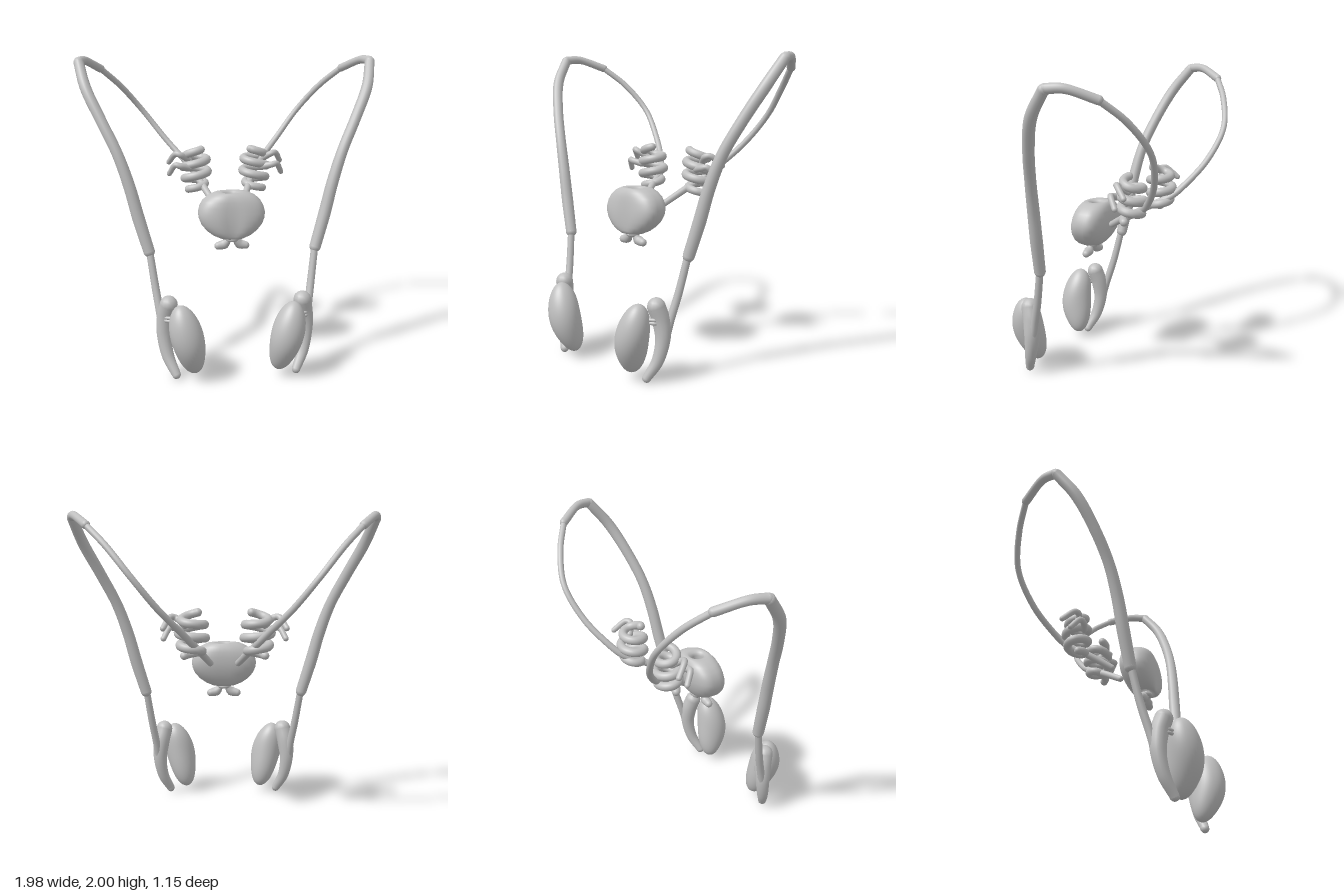
import * as THREE from 'three';
import { mergeGeometries, mergeVertices } from 'three/addons/utils/BufferGeometryUtils.js';

const V = (x, y, z) => new THREE.Vector3(x, y, z);

// Move every vertex by a rule, then rebuild smooth normals without a seam.
function reshape(geometry, rule) {
  const p = geometry.attributes.position, v = V(0, 0, 0);
  for (let i = 0; i < p.count; i++) {
    rule(v.fromBufferAttribute(p, i));
    p.setXYZ(i, v.x, v.y, v.z);
  }
  geometry.deleteAttribute('uv');
  geometry.deleteAttribute('normal');
  const merged = mergeVertices(geometry, 1e-5);
  merged.computeVertexNormals();
  return merged;
}

// Round-ended tube through points, with radii spread evenly along its length.
function taperedTube(points, radii, segments = 48, sides = 14) {
  const curve = new THREE.CatmullRomCurve3(points);
  const tube = new THREE.TubeGeometry(curve, segments, 1, sides);
  const p = tube.attributes.position, v = V(0, 0, 0);
  const radiusAt = (u) => {
    const f = u * (radii.length - 1), k = Math.min(Math.floor(f), radii.length - 2);
    return THREE.MathUtils.lerp(radii[k], radii[k + 1], f - k);
  };
  for (let i = 0; i <= segments; i++) {
    const c = curve.getPointAt(i / segments), r = radiusAt(i / segments);
    for (let j = 0; j <= sides; j++) {
      const n = i * (sides + 1) + j;
      v.fromBufferAttribute(p, n).sub(c).multiplyScalar(r).add(c);
      p.setXYZ(n, v.x, v.y, v.z);
    }
  }
  const caps = [0, 1].map((u) => {
    const c = curve.getPointAt(u);
    return new THREE.SphereGeometry(radiusAt(u), 14, 10).translate(c.x, c.y, c.z);
  });
  return mergeGeometries([tube, ...caps]);
}

export function createModel() {
  const model = new THREE.Group();
  model.name = 'ductAndGlandModel';
  const grey = new THREE.MeshStandardMaterial({ color: 0xc0c0c0 });
  grey.name = 'light grey';

  const add = (parent, name, geometry) => {
    const mesh = new THREE.Mesh(geometry, grey);
    mesh.name = name;
    parent.add(mesh);
    return mesh;
  };

  // Central gland: closed profile with a bore, flattened front to back
  const bore = 0.035, widest = 0.217;
  const profile = [
    [bore, 0.86], [0.08, 0.845], [0.125, 0.865], [0.165, 0.895], [0.198, 0.935],
    [0.214, 0.975], [widest, 1.01], [0.208, 1.05], [0.188, 1.085], [0.155, 1.115],
    [0.11, 1.136], [0.07, 1.14], [0.045, 1.13], [bore, 1.11], [bore, 0.98], [bore, 0.86],
  ].map(([r, y]) => new THREE.Vector2(r, y));
  add(model, 'centralGland', reshape(new THREE.LatheGeometry(profile, 64), (v) => {
    const r = Math.hypot(v.x, v.z), out = Math.max(0, (r - bore) / (widest - bore));
    const e = 1 - 0.32 * out, low = THREE.MathUtils.clamp((1.14 - v.y) / 0.3, 0, 1);
    const depth = bore + 0.08 * Math.pow(out, 0.6);
    const sx = v.x / r, sz = v.z / r;
    v.x = Math.sign(sx) * Math.pow(Math.abs(sx), e) * r;
    v.z = Math.sign(sz) * Math.pow(Math.abs(sz), e) * depth;
    // shallow groove low on the front
    if (v.z > 0) v.z -= 0.025 * out * low * Math.exp(-((v.x / 0.05) ** 2));
    v.z += 0.105 + 0.04 * low * low;
  }));

  // Short outlet below the gland
  add(model, 'outletRing', new THREE.TorusGeometry(0.03, 0.014, 10, 24)
    .rotateX(Math.PI / 2).translate(0, 0.835, 0.145));

  for (const s of [1, -1]) {
    const side = new THREE.Group();
    side.name = s > 0 ? 'leftSide' : 'rightSide';
    model.add(side);
    const pts = (list) => list.map(([x, y, z]) => V(s * x, y, z));
    const tube = (name, list, radii, segments) =>
      add(side, name, taperedTube(pts(list), radii, segments));

    // Small paired bulbs under the central gland
    tube('smallBulb', [[0.018, 0.83, 0.145], [0.05, 0.8, 0.142], [0.09, 0.789, 0.14]],
      [0.014, 0.024, 0.032, 0.029, 0.025], 24);

    // Large oval gland, leaning outward at the top
    add(side, 'ovalGland', reshape(new THREE.SphereGeometry(1, 40, 28), (v) => {
      const y = v.y, bulge = 1 + 0.05 * Math.sin(3 * y + 2 * v.z);
      v.x = s * (0.312 + 0.104 * v.x * bulge * s + 0.042 * y);
      v.z = 0.462 + 0.108 * v.z * bulge + 0.015 * y - 0.02 * y * y;
      v.y = 0.272 + 0.23 * y;
    }));

    // Curved body hugging the oval gland
    tube('curvedBody', [[0.425, 0.482, 0.372], [0.443, 0.4, 0.35], [0.455, 0.28, 0.345],
      [0.435, 0.14, 0.37], [0.385, 0.028, 0.415]], [0.057, 0.055, 0.045, 0.038, 0.028]);

    // Little ducts joining the body to the oval gland
    for (const y of [0.387, 0.407]) {
      tube('linkDuct', [[0.452, y, 0.36], [0.446, y, 0.4], [0.4, y, 0.425]], [0.011, 0.011], 16);
    }

    // Thin lower duct up to the sheath
    tube('lowerDuct', [[0.385, 0.03, 0.41], [0.45, 0.19, 0.355], [0.478, 0.4, 0.3],
      [0.503, 0.56, 0.257], [0.535, 0.79, 0.21]], [0.026, 0.026, 0.025, 0.023]);

    // Thick sheathed duct rising to the peak
    tube('thickDuct', [[0.538, 0.785, 0.208], [0.6, 1.0, 0.185], [0.652, 1.2, 0.165],
      [0.72, 1.4, 0.133], [0.815, 1.6, 0.073], [0.91, 1.8, -0.015], [0.955, 1.955, -0.13]],
    [0.037, 0.04, 0.038, 0.035, 0.035, 0.036, 0.033], 64);

    // Collar running back from the peak
    tube('peakCollar', [[0.955, 1.962, -0.14], [0.925, 1.965, -0.235], [0.83, 1.905, -0.39]],
      [0.03, 0.026, 0.027], 24);

    // Thin duct sweeping behind and down to the centre
    tube('upperDuct', [[0.83, 1.905, -0.39], [0.7, 1.78, -0.49], [0.55, 1.6, -0.555],
      [0.4, 1.41, -0.51], [0.27, 1.265, -0.42], [0.2, 1.18, -0.34], [0.145, 1.1, -0.19],
      [0.092, 1.022, -0.06]], [0.02, 0.02, 0.019, 0.02, 0.021, 0.024, 0.021], 72);

    // Coiled gland, wound upward with slanted turns
    const coil = [], turns = 3.25;
    for (let i = 0; i <= 52; i++) {
      const t = i / 52, a = t * turns * Math.PI * 2 + 0.6, r = 0.074 - 0.012 * Math.cos(t * 6);
      const x = Math.cos(a) * r, z = Math.sin(a) * r * 0.85;
      coil.push([0.205 + x, 1.095 + 0.265 * t - 0.1 * t * x + 0.12 * z * t, -0.265 + z]);
    }
    tube('coiledGland', coil, [0.026, 0.029, 0.029, 0.029, 0.027], 160);

    // Bent side branches of the coil
    tube('coilBranch', [[0.25, 1.29, -0.26], [0.31, 1.335, -0.215], [0.34, 1.34, -0.23],
      [0.385, 1.275, -0.3]], [0.022, 0.02, 0.018], 28);
    tube('coilBranch', [[0.25, 1.25, -0.2], [0.315, 1.265, -0.18], [0.345, 1.27, -0.19],
      [0.385, 1.205, -0.24]], [0.024, 0.02, 0.018], 28);
  }
  return model;
}
